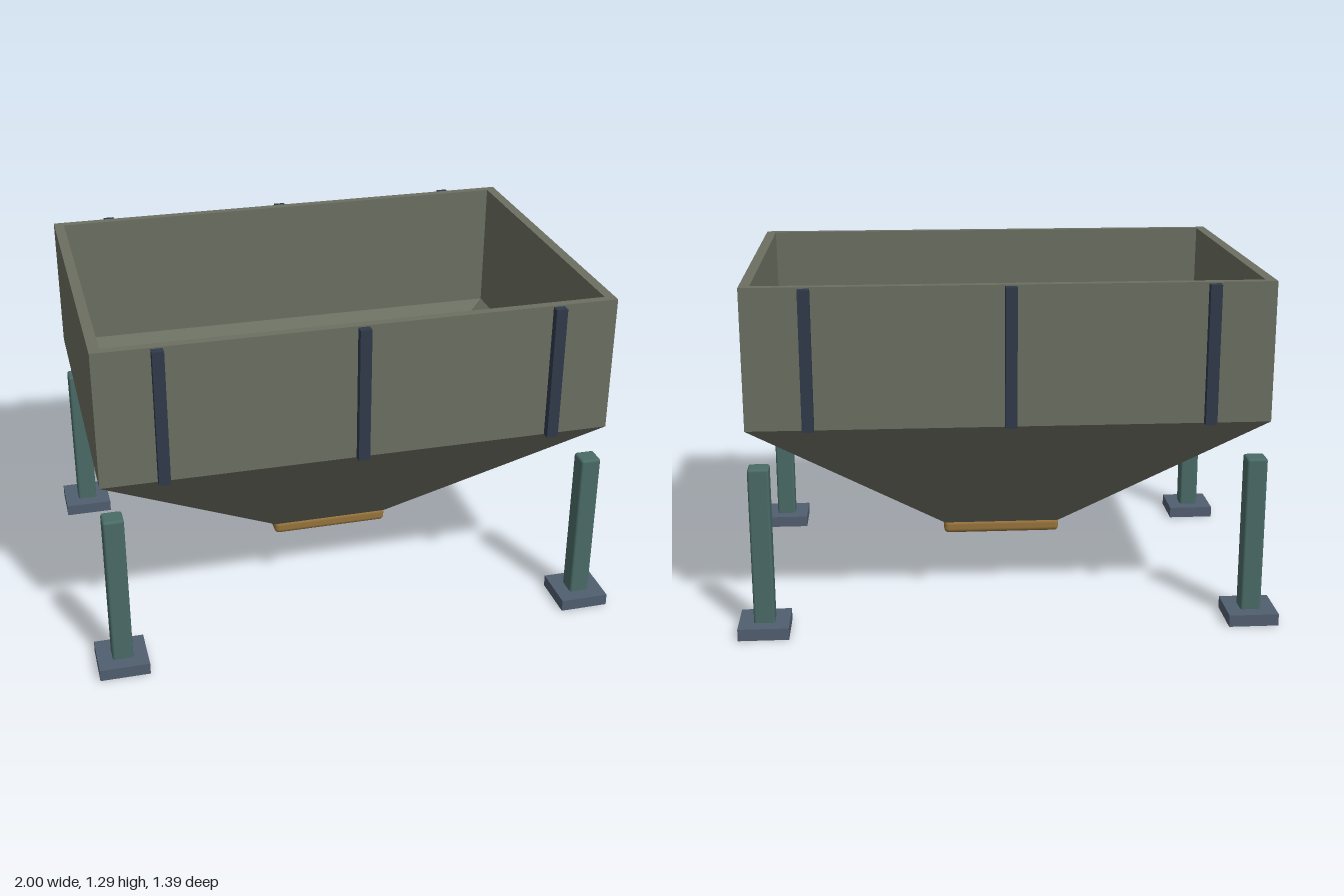
import * as THREE from 'three';
import { RoundedBoxGeometry } from 'three/addons/geometries/RoundedBoxGeometry.js';

const mat = (name, color) => {
  const m = new THREE.MeshStandardMaterial({ color });
  m.name = name;
  return m;
};

// Flat-faced shell through rectangular rings [halfX, halfZ, y]
function rectLoft(rings) {
  const corners = [[1, 1], [1, -1], [-1, -1], [-1, 1]];
  const point = ([hx, hz, y], i) => [corners[i % 4][0] * hx, y, corners[i % 4][1] * hz];
  const pos = [];
  for (let r = 0; r < rings.length - 1; r++) {
    const low = rings[r], high = rings[r + 1];
    for (let i = 0; i < 4; i++) {
      const a = point(low, i), b = point(low, i + 1);
      const c = point(high, i + 1), d = point(high, i);
      if (low[0] > 0) pos.push(...a, ...b, ...c);
      if (high[0] > 0) pos.push(...a, ...c, ...d);
    }
  }
  const geo = new THREE.BufferGeometry();
  geo.setAttribute('position', new THREE.Float32BufferAttribute(pos, 3));
  geo.computeVertexNormals();
  return geo;
}

export function createModel() {
  const model = new THREE.Group();
  model.name = 'hopper';
  const olive = mat('olive steel', 0x6b6f61);
  const navy = mat('dark navy', 0x303a4a);
  const teal = mat('teal steel', 0x4a6b66);
  const slate = mat('slate', 0x515e70);
  const bronze = mat('bronze', 0x96733c);

  const add = (name, geo, material, x = 0, y = 0, z = 0) => {
    const mesh = new THREE.Mesh(geo, material);
    mesh.name = name;
    mesh.position.set(x, y, z);
    model.add(mesh);
    return mesh;
  };

  // Open bin: outside from the base up, over the rim, down the inside to the floor
  add('bin', rectLoft([
    [0, 0, 0.258],
    [0.225, 0.195, 0.258],
    [0.945, 0.645, 0.78],
    [0.945, 0.645, 1.295],
    [0.907, 0.612, 1.295],
    [0.903, 0.608, 0.79],
    [0.2, 0.163, 0.285],
    [0, 0, 0.285],
  ]), olive);

  // Discharge gate under the funnel
  add('gate', new RoundedBoxGeometry(0.455, 0.052, 0.395, 2, 0.018), bronze, 0, 0.238, 0);

  // Stiffening ribs on the long walls
  const rib = new THREE.BoxGeometry(0.042, 0.51, 0.032);
  for (const z of [-0.66, 0.66]) {
    for (const x of [-0.72, 0, 0.72]) add('rib', rib, navy, x, 1.035, z);
  }

  // Corner posts on square foot plates
  const post = new RoundedBoxGeometry(0.077, 0.6, 0.077, 2, 0.01);
  const foot = new THREE.BoxGeometry(0.186, 0.045, 0.186);
  for (const sx of [-1, 1]) {
    for (const sz of [-1, 1]) {
      add('post', post, teal, sx * 0.906, 0.336, sz * 0.601);
      add('footPlate', foot, slate, sx * 0.907, 0.0225, sz * 0.601);
    }
  }
  return model;
}
